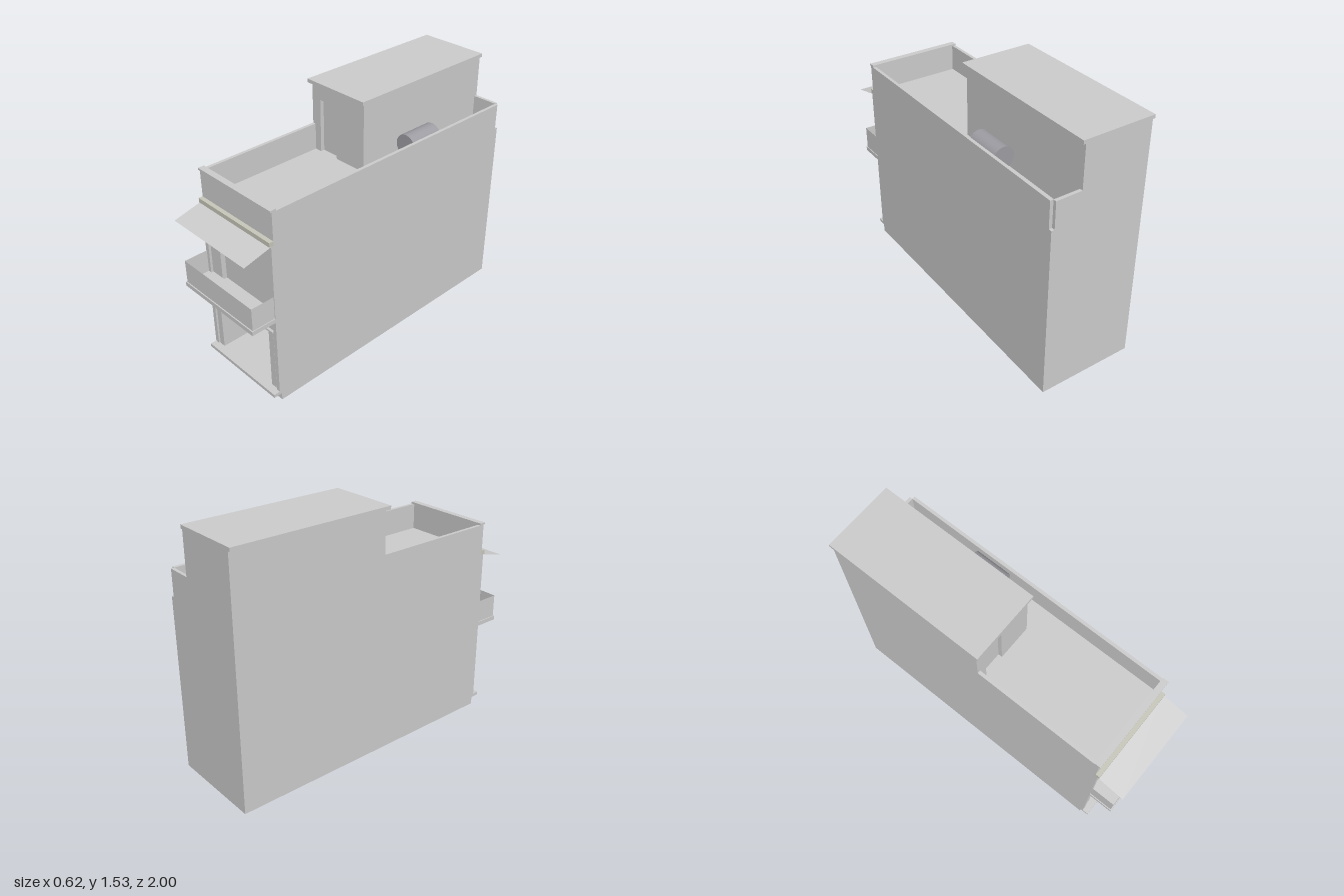
import * as THREE from 'three';

const grey = new THREE.MeshStandardMaterial({ color: 0xcccccc, side: THREE.DoubleSide });
const trim = new THREE.MeshStandardMaterial({ color: 0xc6c6ba, side: THREE.DoubleSide });
const metal = new THREE.MeshStandardMaterial({ color: 0x9c9ca2 });
const FACES = ['px', 'nx', 'py', 'ny', 'pz', 'nz'];
const L = -0.295, R = 0.305, FRONT = 0.81, ROOF = 1.09, TOP = 1.255;

export function createModel() {
  const model = new THREE.Group();
  model.name = 'narrowTownhouse';

  // Box from its limits; the faces listed in omit are left open
  function box(name, [x0, x1], [y0, y1], [z0, z1], omit = [], material = grey, parent = model) {
    const geo = new THREE.BoxGeometry(x1 - x0, y1 - y0, z1 - z0);
    if (omit.length) {
      const index = Array.from(geo.index.array);
      geo.setIndex(index.filter((_, i) => !omit.includes(FACES[Math.floor(i / 6)])));
      geo.clearGroups();
    }
    const mesh = new THREE.Mesh(geo, material);
    mesh.name = name;
    mesh.position.set((x0 + x1) / 2, (y0 + y1) / 2, (z0 + z1) / 2);
    parent.add(mesh);
    return mesh;
  }

  // Thin wall facing +z with one opening, and the niche behind it
  function wallWithNiche(name, [x0, x1], [y0, y1], z, [a, b], [c, d], depth) {
    const group = new THREE.Group();
    group.name = name;
    model.add(group);
    const pieces = [[x0, a, y0, y1], [b, x1, y0, y1], [a, b, y0, c], [a, b, d, y1]];
    for (const [l, r, bottom, top] of pieces) {
      if (r - l < 0.001 || top - bottom < 0.001) continue;
      const wall = new THREE.Mesh(new THREE.PlaneGeometry(r - l, top - bottom), grey);
      wall.position.set((l + r) / 2, (bottom + top) / 2, z);
      wall.name = name + 'Panel';
      group.add(wall);
    }
    box(name + 'Niche', [a, b], [c, d], [z - depth, z], ['pz'], grey, group);
  }

  // Main shell, open underneath, with the terrace on top
  box('bodyShell', [L, R], [0, ROOF], [-1, FRONT], ['ny', 'pz']);
  wallWithNiche('shopFront', [L, R], [0, 0.55], FRONT, [-0.22, 0.228], [0.07, 0.47], 0.29);
  wallWithNiche('upperFront', [L, R], [0.55, ROOF], FRONT, [-0.18, 0.187], [0.585, 0.985], 0.03);

  // Facade trim
  box('doorstep', [L, R], [0.048, 0.07], [FRONT, 0.865]);
  for (const [x0, x1] of [[L, -0.268], [0.28, R]]) {
    box('pilaster', [x0, x1], [0.07, 1.06], [FRONT, 0.825]);
  }
  for (const [x0, x1] of [[-0.26, -0.22], [0.228, 0.27]]) {
    box('shopJamb', [x0, x1], [0.07, 0.47], [FRONT, 0.818]);
  }
  box('shopLintel', [-0.26, 0.27], [0.47, 0.482], [FRONT, 0.825]);
  box('upperLintel', [-0.19, 0.2], [0.985, 1.005], [FRONT, 0.83]);
  box('facadeBand', [-0.268, 0.28], [1.045, 1.06], [FRONT, 0.825]);
  box('cornice', [L, R], [1.06, 1.087], [FRONT, 0.836], [], trim);

  // Balcony tray
  box('balconySlab', [L, R], [0.57, 0.597], [FRONT, 0.98]);
  box('balconyRail', [-0.289, 0.3], [0.597, 0.74], [FRONT, 0.973], ['py', 'ny', 'nz']);

  // Sloping sheet awning
  const drop = 0.045, reach = 0.18;
  const awning = new THREE.Mesh(new THREE.PlaneGeometry(R - L, Math.hypot(drop, reach)), grey);
  awning.name = 'awning';
  awning.position.set((L + R) / 2, 1.06 - drop / 2, 0.91);
  awning.rotation.x = -Math.atan2(reach, drop);
  model.add(awning);

  // Terrace parapets
  box('rightParapet', [0.285, R], [ROOF, TOP], [-0.98, FRONT]);
  box('leftParapet', [L, -0.275], [ROOF, TOP], [0, FRONT]);
  box('backParapet', [0.125, 0.285], [ROOF, TOP], [-1, -0.98]);
  box('frontParapet', [-0.275, 0.285], [ROOF, TOP], [0.79, FRONT]);
  box('parapetCoping', [L, R], [TOP, 1.267], [0.782, 0.82]);

  // Stair house on the terrace
  box('stairHouse', [L, 0.125], [ROOF, 1.515], [-1, 0], ['pz', 'py', 'ny']);
  wallWithNiche('stairHouseFront', [L, 0.125], [ROOF, 1.515], 0, [-0.23, -0.095], [ROOF, 1.42], 0.025);
  box('stairHouseRoof', [-0.31, 0.14], [1.513, 1.535], [-1, 0.023]);

  // Water tank lying beside the stair house
  const tank = new THREE.Mesh(new THREE.CylinderGeometry(0.068, 0.068, 0.225, 32), metal);
  tank.name = 'waterTank';
  tank.rotation.x = Math.PI / 2;
  tank.position.set(0.214, 1.202, -0.363);
  model.add(tank);

  return model;
}
